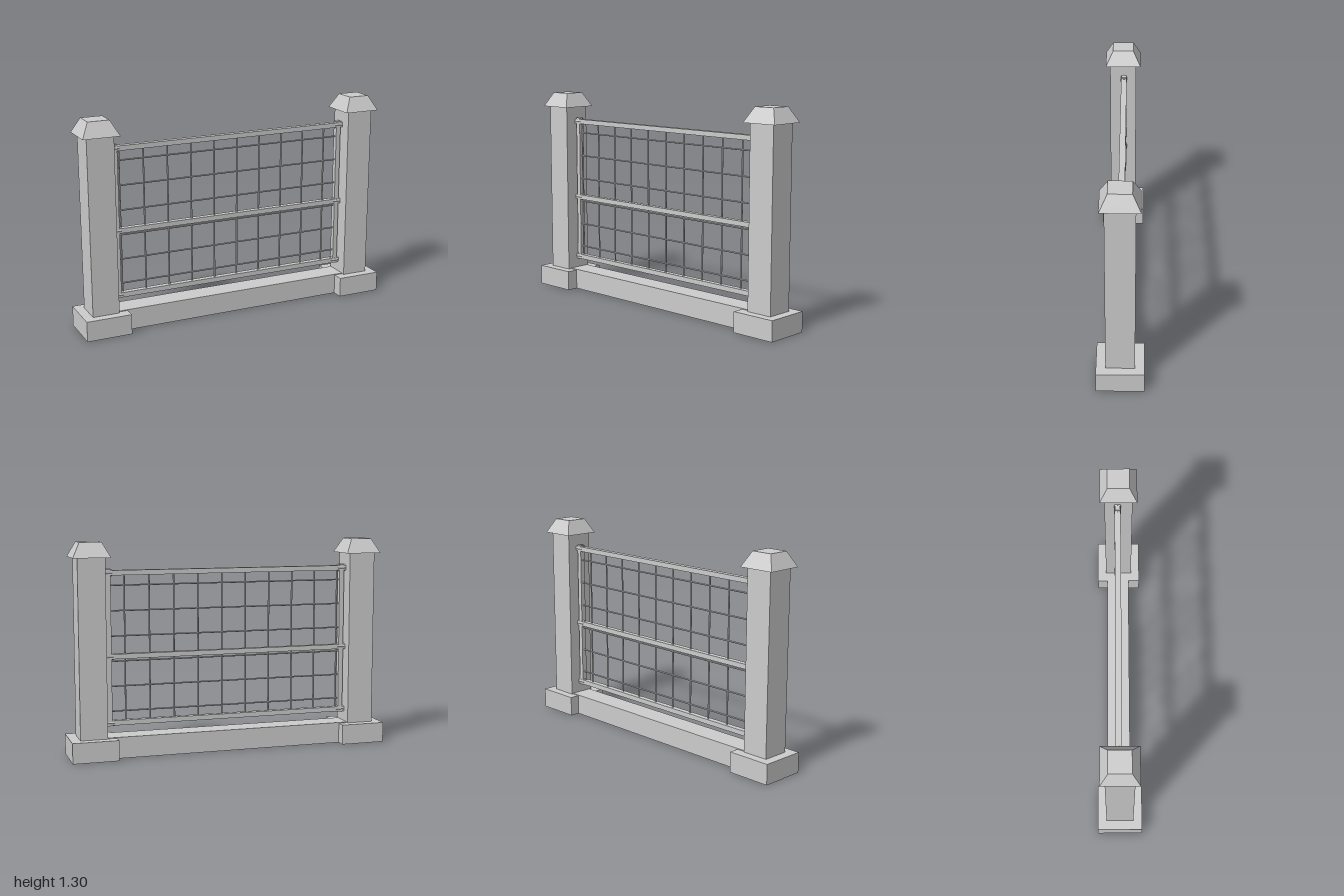
import * as THREE from 'three';

export function createModel() {
  const model = new THREE.Group();
  model.name = 'fencePanel';
  const grey = new THREE.MeshStandardMaterial({ color: 0xcccccc, flatShading: true });
  grey.name = 'light grey';
  const Z = -0.005; // depth of the infill between the posts

  const add = (name, geometry, x, y, z, parent = model) => {
    const mesh = new THREE.Mesh(geometry, grey);
    mesh.name = name;
    mesh.position.set(x, y, z);
    parent.add(mesh);
    return mesh;
  };
  const box = (name, w, h, d, x, y, z, parent) =>
    add(name, new THREE.BoxGeometry(w, h, d), x, y, z, parent);

  // Posts with footing and a truncated pyramid cap
  for (const side of [-1, 1]) {
    const post = new THREE.Group();
    post.name = side > 0 ? 'leftPost' : 'rightPost';
    post.position.x = side * 0.86;
    model.add(post);
    box('footing', 0.28, 0.125, 0.28, 0, 0.0625, 0, post);
    box('shaft', 0.166, 1.09, 0.17, 0, 0.665, 0, post);
    const cap = new THREE.CylinderGeometry(0.066 * Math.SQRT2, 0.113 * Math.SQRT2, 0.09, 4);
    cap.rotateY(Math.PI / 4);
    add('cap', cap, 0, 1.255, 0, post);
  }

  // Ground beam
  box('groundBeam', 1.55, 0.13, 0.145, 0, 0.065, Z);

  // Frame: three rails, two stiles and a collar at each joint
  const railHeights = [0.207, 0.612, 1.115];
  for (const y of railHeights) box('rail', 1.56, 0.03, 0.036, 0, y, Z);
  for (const side of [-1, 1]) {
    box('stile', 0.03, 0.95, 0.032, side * 0.75, 0.664, Z);
    for (const y of railHeights) {
      const collar = new THREE.CylinderGeometry(0.021, 0.021, 0.056, 8);
      collar.rotateZ(Math.PI / 2);
      add('collar', collar, side * 0.751, y, Z);
    }
  }

  // Wire mesh
  const pitch = 0.1525, r = 0.005;
  for (let i = 0; i < 10; i++) {
    add('verticalWire', new THREE.CylinderGeometry(r, r, 0.9, 6), -0.722 + i * pitch, 0.661, Z);
  }
  for (let i = 0; i < 6; i++) {
    const wire = new THREE.CylinderGeometry(r, r, 1.48, 6);
    wire.rotateZ(Math.PI / 2);
    add('horizontalWire', wire, 0, 0.278 + i * pitch, Z);
  }

  return model;
}
